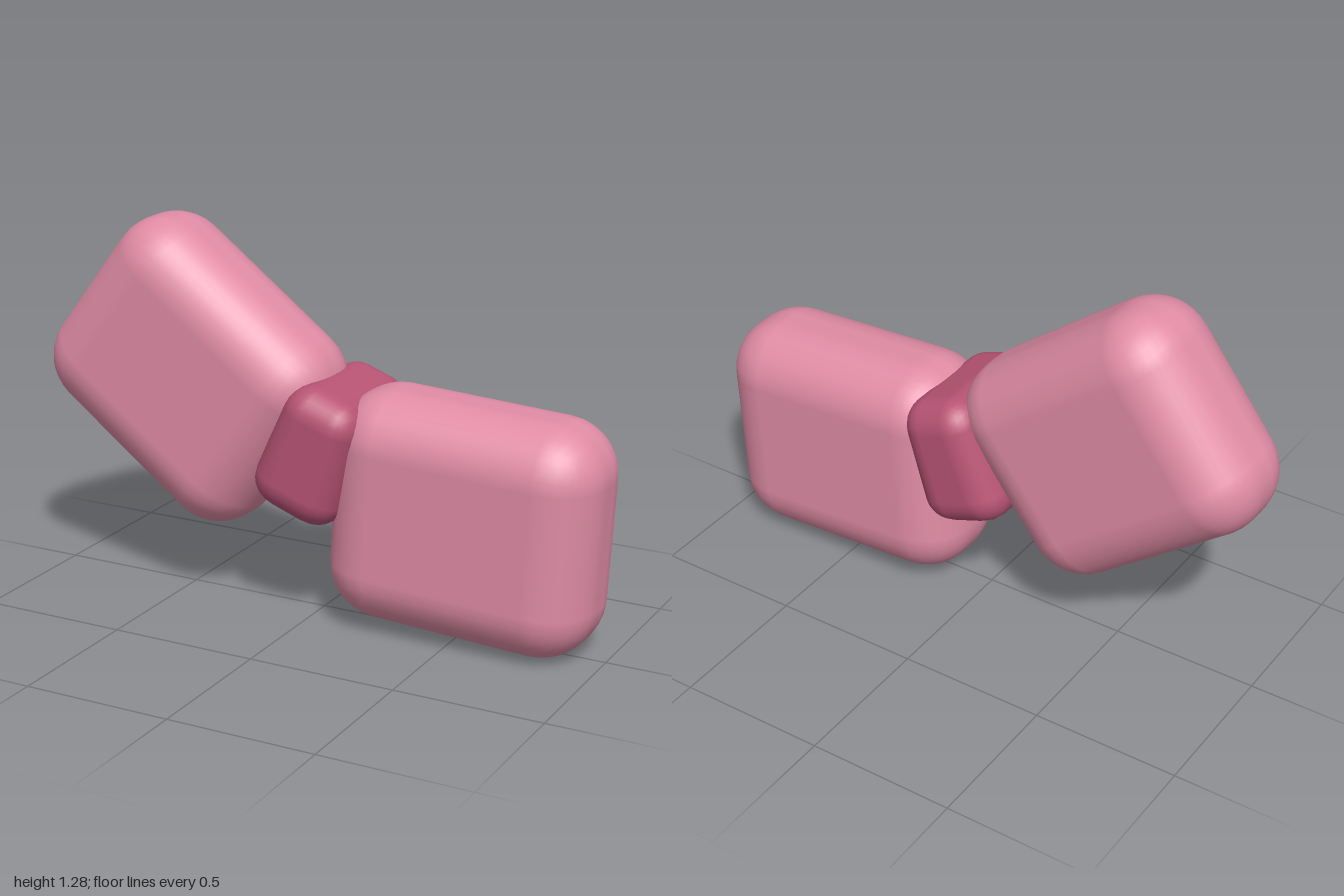
import * as THREE from 'three';
import { RoundedBoxGeometry } from 'three/addons/geometries/RoundedBoxGeometry.js';

const DEG = Math.PI / 180;
const wingMaterial = new THREE.MeshStandardMaterial({ color: 0xe08ca5 });
const knotMaterial = new THREE.MeshStandardMaterial({ color: 0xb85475 });

// Places a part in the bow's plane, tilted clockwise by the given degrees
function addPart(group, name, geometry, material, x, y, tilt) {
  const mesh = new THREE.Mesh(geometry, material);
  mesh.name = name;
  mesh.position.set(x, y, 0);
  mesh.rotation.z = -tilt * DEG;
  group.add(mesh);
}

// Centre knot: a rounded block that narrows towards its top
function knotGeometry() {
  const height = 0.445;
  const geometry = new RoundedBoxGeometry(0.3, height, 0.49, 3, 0.1);
  const p = geometry.attributes.position;
  for (let i = 0; i < p.count; i++) {
    p.setX(i, p.getX(i) * (1 - 0.24 * p.getY(i) / height));
  }
  return geometry;
}

export function createModel() {
  const bow = new THREE.Group();
  bow.name = 'bow';

  // Two matching puffy wings
  const wing = new RoundedBoxGeometry(0.915, 0.777, 0.424, 4, 0.185);
  addPart(bow, 'leftWing', wing, wingMaterial, 0.527, 0.407, 3);
  addPart(bow, 'rightWing', wing, wingMaterial, -0.476, 0.772, 37.2);

  addPart(bow, 'knot', knotGeometry(), knotMaterial, 0.034, 0.59, 20);
  return bow;
}
